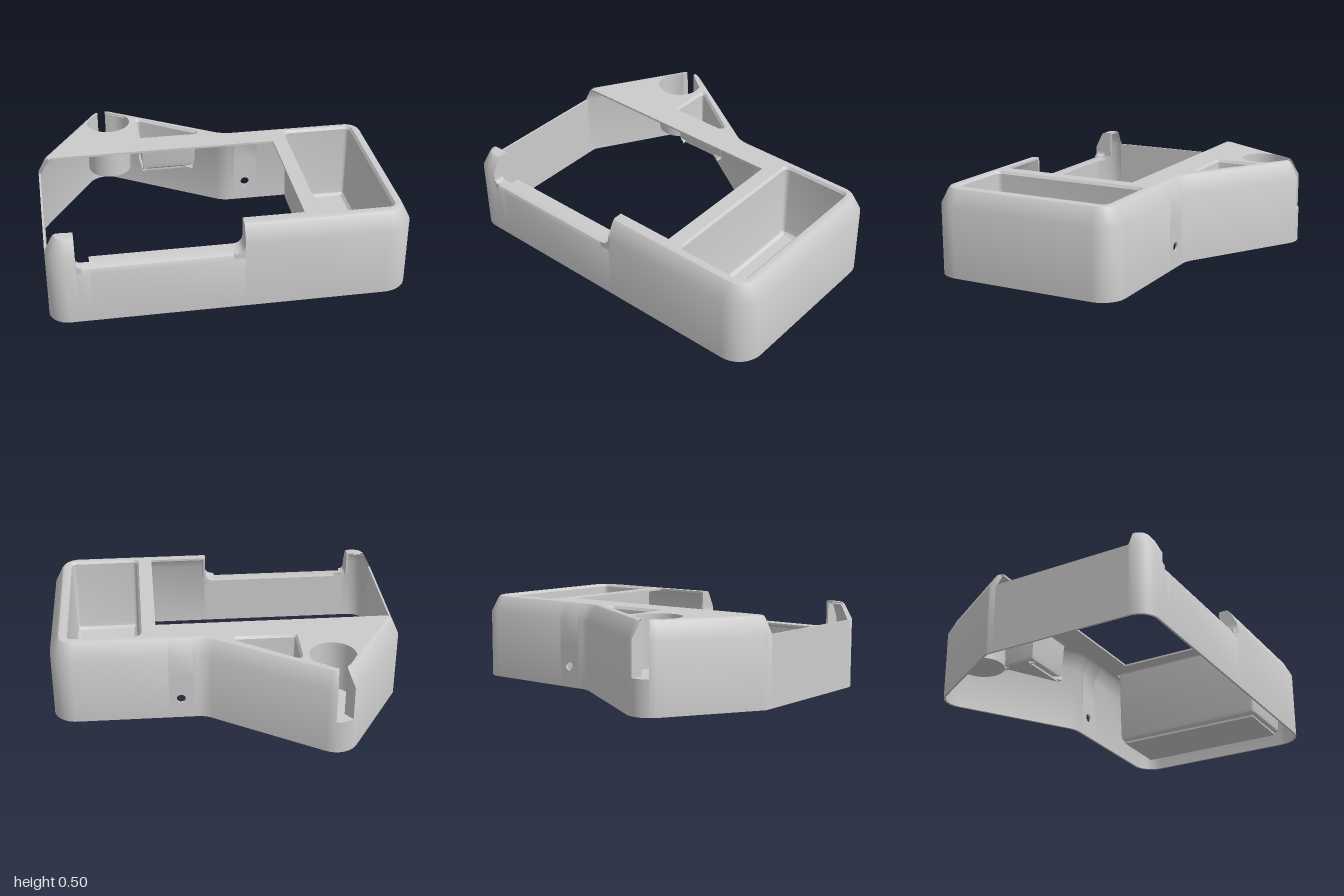
import * as THREE from 'three';
import { toCreasedNormals } from 'three/addons/utils/BufferGeometryUtils.js';

const T = 0.012;      // skin thickness
const TOP = 0.5;      // top plate height
const SILL = 0.34;    // height of the front notch
const material = new THREE.MeshStandardMaterial({ color: 0xcccccc, side: THREE.DoubleSide });

// Corners [x, z, radius] to a polyline with tangent arcs
function roundCorners(corners, segs = 12) {
  const out = [];
  corners.forEach(([x, z, r], i) => {
    const P = new THREE.Vector2(x, z);
    if (!r) return out.push(P);
    const n = corners.length;
    const u = new THREE.Vector2(...corners[(i + n - 1) % n].slice(0, 2)).sub(P).normalize();
    const v = new THREE.Vector2(...corners[(i + 1) % n].slice(0, 2)).sub(P).normalize();
    const half = Math.acos(u.dot(v)) / 2;
    const len = r / Math.tan(half);
    const c = u.clone().add(v).setLength(r / Math.sin(half)).add(P);
    const a0 = u.multiplyScalar(len).add(P).sub(c).angle();
    let sweep = v.multiplyScalar(len).add(P).sub(c).angle() - a0;
    if (sweep > Math.PI) sweep -= 2 * Math.PI;
    if (sweep < -Math.PI) sweep += 2 * Math.PI;
    for (let k = 0; k <= segs; k++) {
      const a = a0 + sweep * k / segs;
      out.push(new THREE.Vector2(c.x + r * Math.cos(a), c.y + r * Math.sin(a)));
    }
  });
  return out;
}

// Mitred inward directions of a closed outline
function inwardNormals(pts) {
  const n = pts.length;
  const edge = (a, b) => new THREE.Vector2(a.y - b.y, b.x - a.x).normalize();
  return pts.map((p, i) => {
    const e0 = edge(pts[(i + n - 1) % n], p), e1 = edge(p, pts[(i + 1) % n]);
    const m = e0.clone().add(e1).normalize();
    return m.divideScalar(Math.max(0.3, m.dot(e1)));
  });
}

const inset = (pts, normals, d) => pts.map((p, i) => p.clone().addScaledVector(normals[i], d));

function addMesh(group, name, geometry) {
  const mesh = new THREE.Mesh(geometry, material);
  mesh.name = name;
  group.add(mesh);
  return mesh;
}

// Skin over rows of [x, y, z] points
function sheet(rows) {
  const pos = [];
  for (let j = 0; j < rows.length - 1; j++) {
    for (let i = 0; i < rows[j].length - 1; i++) {
      const a = rows[j][i], b = rows[j][i + 1], c = rows[j + 1][i + 1], d = rows[j + 1][i];
      pos.push(...a, ...d, ...c, ...a, ...c, ...b);
    }
  }
  const g = new THREE.BufferGeometry();
  g.setAttribute('position', new THREE.Float32BufferAttribute(pos, 3));
  return toCreasedNormals(g, 0.5);
}

// Flat plate from plan points, its top at height y
function plate(pts, y, holes = []) {
  const flip = list => list.map(p => new THREE.Vector2(p.x, -p.y));
  const s = new THREE.Shape(flip(pts));
  s.holes = holes.map(h => new THREE.Path(flip(h)));
  return new THREE.ExtrudeGeometry(s, { depth: T, bevelEnabled: false })
    .rotateX(-Math.PI / 2).translate(0, y - T, 0);
}

// Open tray hanging from the top plate
function tray(pts, floor) {
  const g = new THREE.Group();
  const normals = inwardNormals(pts);
  const steps = [[0, TOP], [0.012, 0.485], [0.022, floor + 0.04], [0.028, floor + 0.015], [0.045, floor]];
  const rows = steps.map(([d, y]) => {
    const ring = inset(pts, normals, d).map(p => [p.x, y, p.y]);
    return [...ring, ring[0]];
  });
  addMesh(g, 'trayWall', sheet(rows));
  addMesh(g, 'trayFloor', plate(inset(pts, normals, 0.045), floor));
  return g;
}

export function createModel() {
  const model = new THREE.Group();

  // Plan outline, clockwise seen from above, with points where the wall changes
  const outline = roundCorners([
    [-1, -0.16, 0], [-1, -0.205, 0.04], [-0.615, -0.83, 0.13], [0.133, -0.365, 0.15],
    [0.2, -0.365, 0], [0.34, -0.365, 0], [1, -0.365, 0.13], [1, 0.77, 0.15],
    [0.06, 0.77, 0], [-0.77, 0.77, 0], [-0.845, 0.77, 0], [-1, 0.77, 0.11]
  ]);
  const normals = inwardNormals(outline);
  const nearest = (x, z) => {
    let best = 0;
    const q = new THREE.Vector2(x, z);
    outline.forEach((p, i) => { if (p.distanceTo(q) < outline[best].distanceTo(q)) best = i; });
    return best;
  };
  const slotA = nearest(-0.653, -0.752), slotB = nearest(-0.545, -0.777);
  const holeA = nearest(0.2, -0.365), holeB = nearest(0.34, -0.365);
  const notchR = nearest(0.06, 0.77), nick = nearest(-0.77, 0.77);
  const notchL = nearest(-0.845, 0.77), postEnd = nearest(-1, 0.66);

  // Wall sections as [inset, height] loops
  const full = (y0, lip = 0.07) => [
    [0, y0], [0, 0.4], [0.042, 0.483], [0.052, 0.495], [0.068, TOP], [lip, TOP],
    [lip, TOP - T], [0.062, TOP - T], [0.05, 0.473], [T, 0.397], [T, y0]];
  const low = y => [[0, 0], [0, y], [T, y], [T, 0]];
  const sill = d => [
    [0, 0], [0, 0.305], [0.01, 0.328], [0.035, SILL], [d, SILL],
    [d, SILL - T], [0.037, SILL - T], [T, 0.303], [T, 0]];
  const wall = (name, from, to, profile) => {
    const rows = [...profile, profile[0]].map(([d, y]) => {
      const row = [];
      for (let i = from; i <= to; i++) {
        const k = i % outline.length;
        const p = outline[k].clone().addScaledVector(normals[k], d);
        row.push([p.x, y, p.y]);
      }
      return row;
    });
    addMesh(model, name, sheet(rows));
  };
  const cupFloor = 0.2;
  wall('backLeftWall', 0, slotA, full(0));
  wall('slotWall', slotA, slotB, low(cupFloor));
  wall('backSlopeWall', slotB, holeA, full(0));
  wall('wallAboveHole', holeA, holeB, full(0.25));
  wall('mainWall', holeB, notchR, full(0));
  wall('frontSill', notchR, nick, sill(0.11));
  wall('sillNick', nick, notchL, sill(0.06));
  wall('cornerPost', notchL, postEnd, full(0, 0.11));
  wall('sideWall', postEnd, outline.length, low(0.4));

  // Back wall panel with the cable hole
  const panel = new THREE.Shape([[0.2, 0], [0.34, 0], [0.34, 0.25], [0.2, 0.25]].map(p => new THREE.Vector2(...p)));
  panel.holes.push(new THREE.Path().absarc(0.27, 0.125, 0.026, 0, Math.PI * 2, true));
  addMesh(model, 'cableHolePanel', new THREE.ExtrudeGeometry(panel, { depth: T, bevelEnabled: false, curveSegments: 24 }))
    .position.z = -0.365;

  // Notch ends and their fillets
  const endShape = new THREE.Shape([[0.66, SILL], [0.77, SILL], [0.77, 0.4], [0.728, 0.483], [0.718, 0.495], [0.702, TOP], [0.66, TOP]]
    .map(([z, y]) => new THREE.Vector2(-z, y)));
  for (const [x, r, side, z0] of [[0.06, 0.06, -1, 0.66], [-0.845, 0.03, 1, 0.71]]) {
    const end = new THREE.ExtrudeGeometry(endShape, { depth: T, bevelEnabled: false }).rotateY(Math.PI / 2);
    addMesh(model, 'notchEnd', end).position.x = side < 0 ? x : x - T;
    const f = new THREE.Shape();
    f.moveTo(x, SILL - 0.03);
    f.lineTo(x + side * r, SILL - 0.03);
    f.lineTo(x + side * r, SILL);
    f.quadraticCurveTo(x, SILL, x, SILL + r);
    addMesh(model, 'notchFillet', new THREE.ExtrudeGeometry(f, { depth: 0.768 - z0, bevelEnabled: false }))
      .position.z = z0;
  }

  // Keyhole path: in along the slot, around the round cup, out again
  const rim = inset(outline, normals, 0.068);
  const centre = new THREE.Vector2(-0.555, -0.565), R = 0.13;
  const a0 = Math.atan2(-0.115, -0.065), a1 = Math.atan2(-0.125, 0.035) - 2 * Math.PI;
  const arc = [];
  for (let k = 0; k <= 40; k++) {
    const a = a0 + (a1 - a0) * k / 40;
    arc.push(new THREE.Vector2(centre.x + R * Math.cos(a), centre.y + R * Math.sin(a)));
  }
  const keyhole = [outline[slotA], rim[slotA], ...arc, rim[slotB], outline[slotB]];
  const last = keyhole.length - 1;
  addMesh(model, 'keyholeWall', sheet([
    keyhole.map(p => [p.x, cupFloor - T, p.y]),
    keyhole.map((p, i) => [p.x, i === 0 || i === last ? 0.4 : TOP, p.y])
  ]));
  const slotEdge = outline.slice(slotA + 1, slotB).reverse();
  addMesh(model, 'keyholeFloor', plate([...keyhole, ...slotEdge], cupFloor));

  // Trays: large rectangular and small triangular
  const bigTray = roundCorners([[0.48, -0.28, 0.04], [0.91, -0.28, 0.04], [0.91, 0.68, 0.04], [0.48, 0.68, 0.04]], 6);
  const smallTray = roundCorners([[-0.39, 0.325 * -1, 0.02], [-0.39, -0.605, 0.025], [0.03, -0.325, 0.025]], 6);
  for (const [name, pts, floor] of [['largeTray', bigTray, 0.03], ['triangularTray', smallTray, 0.26]]) {
    const t = tray(pts, floor);
    t.name = name;
    model.add(t);
  }

  // Top plate around the large opening
  const corner = (x, z) => new THREE.Vector2(x, z);
  const top = [
    ...rim.slice(0, slotA + 1), ...arc, ...rim.slice(slotB, notchR + 1),
    corner(0.06, 0.66), corner(0.4, 0.66), corner(0.4, -0.16)
  ];
  addMesh(model, 'topPlate', plate(top, TOP, [bigTray, smallTray]));

  return model;
}
